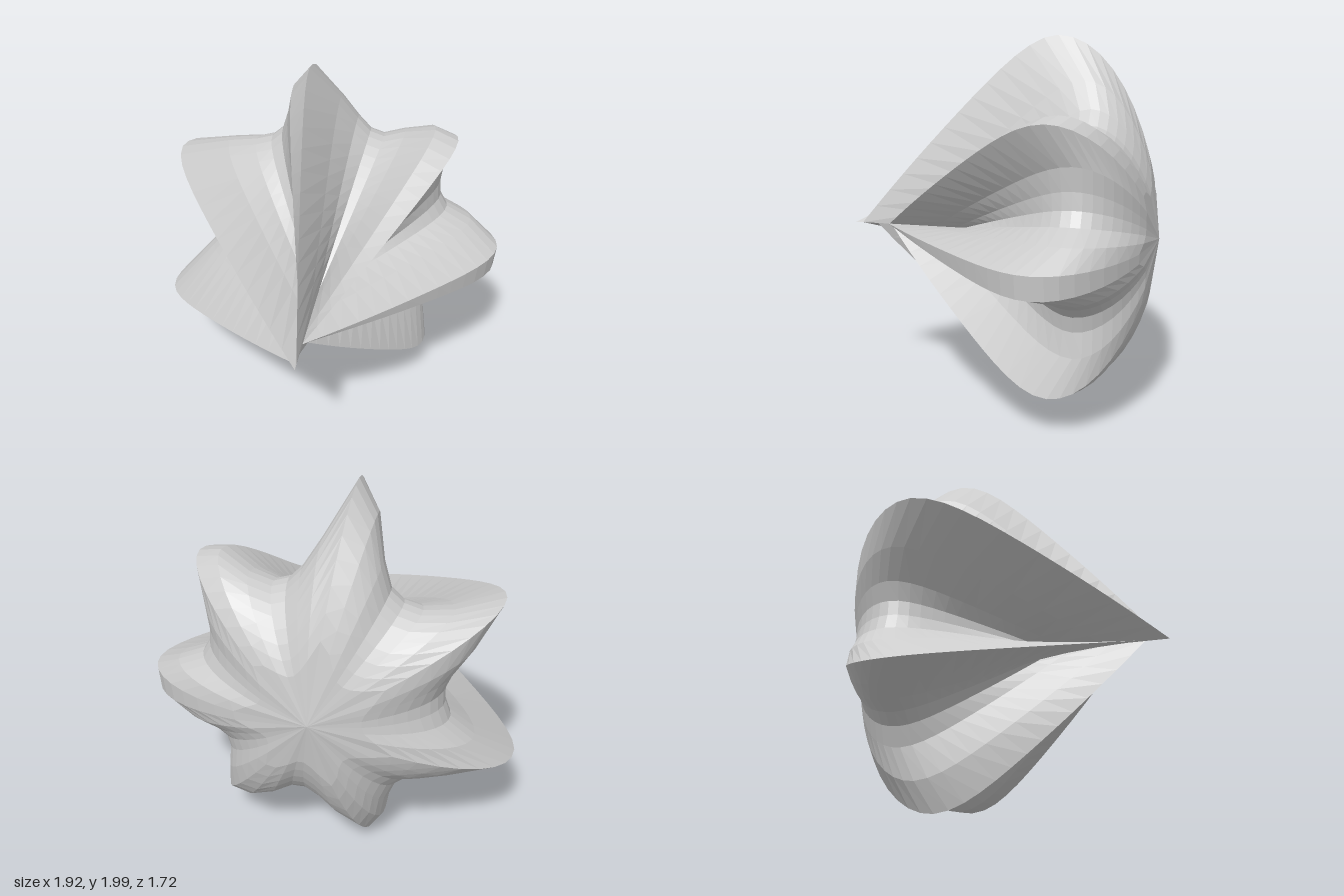
import * as THREE from 'three';

// Outer radius of each of the 48 meridians, anticlockwise from +x as seen from the front
const RADII = [
  0.93, 0.77, 0.643, 0.627, 0.66, 0.74, 0.925, 0.865,
  0.715, 0.628, 0.626, 0.687, 0.82, 1.064, 0.942, 0.774,
  0.674, 0.66, 0.7, 0.81, 1.015, 0.82, 0.683, 0.627,
  0.625, 0.66, 0.807, 1.07, 0.853, 0.722, 0.655, 0.65,
  0.71, 0.85, 0.972, 0.765, 0.655, 0.605, 0.62, 0.721,
  0.865, 0.918, 0.735, 0.637, 0.608, 0.645, 0.75, 0.926,
];
const SPIRE = 20; // the meridian that reaches furthest forward
const BACK_ROWS = 8, FRONT_ROWS = 14;
const BACK_Z = -0.863, CENTRE_X = 0.03, CENTRE_Y = 0.945;

// Profile of one meridian from the back pole over the rim to the front apex;
// long lobes reach further forward than the valleys between them
function profile(radius, isSpire) {
  const rimZ = Math.max(-0.5, -0.28 - 0.7 * (1.065 - radius));
  const apexZ = isSpire ? 0.86 : Math.min(0.82, 0.2 + 1.5 * (radius - 0.62));
  const points = [[0, BACK_Z]];
  // Flat cone around the pole, then a rounded back
  for (let i = 0; i < BACK_ROWS; i++) {
    const w = Math.cos(0.5 + (i / BACK_ROWS) * (Math.PI / 2 - 0.5));
    points.push([radius * Math.pow(1 - w * w, 0.6), rimZ + (BACK_Z - rimZ) * w]);
  }
  // Rounded rim running into a nearly straight front
  for (let i = 0; i <= FRONT_ROWS; i++) {
    const u = i / FRONT_ROWS;
    const power = 1.3 + 0.4 * Math.pow(1 - u, 4);
    points.push([radius * (1 - Math.pow(u, power)), rimZ + (apexZ - rimZ) * u]);
  }
  return points;
}

export function createModel() {
  const stone = new THREE.MeshStandardMaterial({ color: 0xcccccc, flatShading: true, side: THREE.DoubleSide });
  stone.name = 'pale grey';

  const positions = [], indices = [];
  const count = RADII.length, rows = BACK_ROWS + FRONT_ROWS + 1;
  RADII.forEach((radius, j) => {
    const angle = (j / count) * Math.PI * 2;
    for (const [r, z] of profile(radius, j === SPIRE)) {
      positions.push(CENTRE_X + r * Math.cos(angle), CENTRE_Y + r * Math.sin(angle), z);
    }
  });

  // Join neighbouring meridians; the back pole needs one triangle per strip
  for (let j = 0; j < count; j++) {
    const here = j * (rows + 1), next = ((j + 1) % count) * (rows + 1);
    for (let i = 0; i < rows; i++) {
      const a = here + i, b = next + i;
      if (i > 0) indices.push(a, b, b + 1);
      indices.push(a, b + 1, a + 1);
    }
  }

  const geometry = new THREE.BufferGeometry();
  geometry.setAttribute('position', new THREE.Float32BufferAttribute(positions, 3));
  geometry.setIndex(indices);
  geometry.computeVertexNormals();

  const shell = new THREE.Mesh(geometry, stone);
  shell.name = 'sevenLobedShell';
  const group = new THREE.Group();
  group.name = 'lobedStar';
  group.add(shell);
  return group;
}
